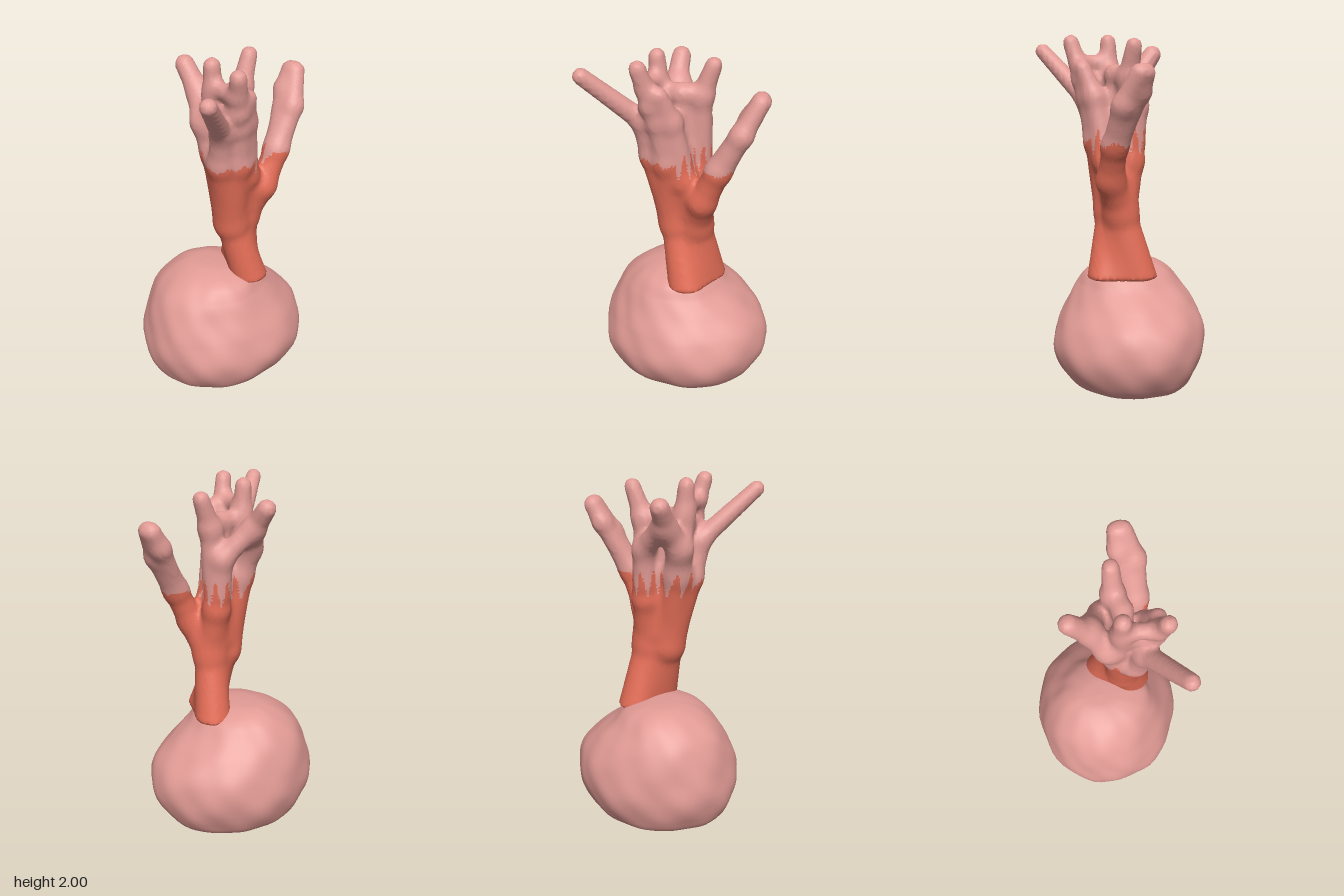
import * as THREE from 'three';
import { ParametricGeometry } from 'three/addons/geometries/ParametricGeometry.js';

const rose = new THREE.MeshStandardMaterial({ color: 0xe29b95 });
rose.name = 'dusty rose';
const red = new THREE.MeshStandardMaterial({ color: 0xe36d57 });
red.name = 'coral red';

// A strand is a path whose radius tapers evenly from point to point
function strand(r0, r1, ...points) {
  const radius = (i) => r0 + ((r1 - r0) * i) / (points.length - 1);
  return points.slice(1).map((b, i) => ({ a: points[i], b, ra: radius(i), rb: radius(i + 1) }));
}

// All arms grow from two joints in the waist of the stem
const waistLeft = [-0.03, 1.0, 0.09], waistRight = [0.085, 1.0, 0.085];
const leftFoot = strand(0.105, 0.082, [0.05, 0.62, 0.17], waistLeft);
const rightFoot = strand(0.105, 0.084, [0.14, 0.62, 0], waistRight);
const middleFoot = strand(0.1, 0.085, [0.095, 0.62, 0.085], [0.04, 1.0, 0.085]);
const outerLeftArm = strand(0.085, 0.044, waistLeft, [-0.15, 1.42, 0.12], [-0.195, 1.63, 0.16], [-0.47, 1.905, 0.31]);
const outerRightArm = strand(0.085, 0.048, waistRight, [0.14, 1.2, 0.18], [0.23, 1.4, 0.205], [0.35, 1.62, 0.215], [0.435, 1.79, 0.17]);
const outerRightRidge = strand(0.055, 0.046, [0.23, 1.4, 0.195], [0.38, 1.69, 0.13], [0.435, 1.79, 0.125]);
const frontFinger = strand(0.08, 0.045, waistLeft, [-0.06, 1.4, 0.165], [-0.1, 1.65, 0.2], [-0.185, 1.95, 0.26]);
const frontStub = strand(0.078, 0.045, waistRight, [0.03, 1.3, 0.15], [-0.03, 1.65, 0.19], [-0.08, 1.81, 0.24]);
const innerRightFinger = strand(0.085, 0.045, waistRight, [0.085, 1.3, 0.025], [0.1, 1.75, 0.05], [0.165, 1.93, 0.05]);
const backFinger = strand(0.085, 0.052, waistLeft, [-0.1, 1.45, 0.035], [-0.125, 1.62, -0.02], [-0.075, 1.75, -0.1], [-0.07, 1.885, -0.2]);
const backLeg = strand(0.06, 0.055, [0.08, 1.4, 0], [0.08, 1.6, -0.02], [-0.05, 1.76, -0.11]);
const innerLeftFinger = strand(0.06, 0.045, [-0.12, 1.6, 0.03], [-0.13, 1.8, 0.05], [-0.14, 1.953, 0.05]);
// webs closing the gaps between the fingers
const core = strand(0.085, 0.05, [0.03, 1.1, 0.08], [0, 1.45, 0.08], [0, 1.74, 0.075]);
const rightWeb = strand(0.043, 0.043, [-0.13, 1.77, 0.06], [0, 1.78, 0.08], [0.12, 1.77, 0.05]);
const leftWeb = strand(0.05, 0.05, [-0.12, 1.72, 0.06], [-0.14, 1.74, 0.22]);
const leftRidge = strand(0.042, 0.042, [-0.14, 1.84, 0.07], [-0.165, 1.84, 0.22]);
const segments = [leftFoot, rightFoot, middleFoot, outerLeftArm, outerRightArm, outerRightRidge, frontFinger,
  frontStub, innerRightFinger, backFinger, backLeg, innerLeftFinger, core, rightWeb, leftWeb, leftRidge].flat();

// Distance to the smoothly blended strands, cut flat at the foot
function coralDistance(x, y, z) {
  const k = 0.04;
  let d = 1;
  for (const { a, b, ra, rb } of segments) {
    const dx = b[0] - a[0], dy = b[1] - a[1], dz = b[2] - a[2];
    const px = x - a[0], py = y - a[1], pz = z - a[2];
    const t = Math.min(1, Math.max(0, (px * dx + py * dy + pz * dz) / (dx * dx + dy * dy + dz * dz)));
    const e = Math.hypot(px - t * dx, py - t * dy, pz - t * dz) - ra - t * (rb - ra);
    const h = Math.max(k - Math.abs(d - e), 0) / k;
    d = Math.min(d, e) - h * h * k * 0.25;
  }
  return Math.max(d, 0.63 - y);
}

// Skin a distance function with one vertex per surface cell
function skin(distance, min, size, step) {
  const [nx, ny, nz] = size.map((s) => Math.ceil(s / step) + 1);
  const stride = [1, nx, nx * ny];
  const at = (i, j, k) => i + j * nx + k * nx * ny;
  const field = new Float32Array(nx * ny * nz);
  for (let k = 0; k < nz; k++) for (let j = 0; j < ny; j++) for (let i = 0; i < nx; i++)
    field[at(i, j, k)] = distance(min[0] + i * step, min[1] + j * step, min[2] + k * step);

  // vertices: mean of the edge crossings in each cell
  const positions = [], vertexOf = new Map(), faces = [];
  for (let k = 0; k < nz - 1; k++) for (let j = 0; j < ny - 1; j++) for (let i = 0; i < nx - 1; i++) {
    const sum = [0, 0, 0];
    let count = 0;
    for (let c = 0; c < 8; c++) for (let a = 0; a < 3; a++) {
      if (c & (1 << a)) continue;
      const o = [c & 1, (c >> 1) & 1, (c >> 2) & 1];
      const p = at(i + o[0], j + o[1], k + o[2]);
      const f = field[p], g = field[p + stride[a]];
      if ((f < 0) === (g < 0)) continue;
      o[a] += f / (f - g);
      o.forEach((v, n) => { sum[n] += v; });
      count++;
    }
    if (!count) continue;
    vertexOf.set(at(i, j, k), positions.length / 3);
    [i, j, k].forEach((c, n) => positions.push(min[n] + (c + sum[n] / count) * step));
  }
  // faces: a quad around every crossed edge
  for (let k = 1; k < nz - 1; k++) for (let j = 1; j < ny - 1; j++) for (let i = 1; i < nx - 1; i++) {
    const p = at(i, j, k);
    for (let a = 0; a < 3; a++) {
      const inside = field[p] < 0;
      if (inside === (field[p + stride[a]] < 0)) continue;
      const u = stride[(a + 1) % 3], v = stride[(a + 2) % 3];
      const q = [p - u - v, p - v, p, p - u].map((c) => vertexOf.get(c));
      if (!inside) q.reverse();
      faces.push([q[0], q[1], q[2]], [q[0], q[2], q[3]]);
    }
  }
  const geometry = new THREE.BufferGeometry();
  geometry.setAttribute('position', new THREE.Float32BufferAttribute(positions, 3));
  geometry.setIndex(faces.flat());
  geometry.computeVertexNormals();
  return { geometry, faces };
}

// Coral split into a red stem and rose tips along a ragged line
function makeCoral() {
  const { geometry, faces } = skin(coralDistance, [-0.56, 0.59, -0.3], [1.08, 1.45, 0.7], 0.018);
  const { position, normal } = geometry.attributes;
  const mean = (f, axis) => f.reduce((s, v) => s + position.getComponent(v, axis), 0) / 3;
  const isTip = (f) => {
    const x = mean(f, 0), y = mean(f, 1), z = mean(f, 2);
    const ragged = (x > 0 && x < 0.17) || z < 0.05 ? 0.07 : 0.012;
    return y > 1.41 + ragged * Math.sin(15 * Math.atan2(z - 0.08, x - 0.02));
  };
  const part = (name, list, material) => {
    const g = new THREE.BufferGeometry();
    g.setAttribute('position', position);
    g.setAttribute('normal', normal);
    g.setIndex(list.flat());
    const mesh = new THREE.Mesh(g, material);
    mesh.name = name;
    return mesh;
  };
  const coral = new THREE.Group();
  coral.name = 'coral';
  coral.add(
    part('coralStem', faces.filter((f) => !isTip(f)), red),
    part('coralTips', faces.filter(isTip), rose),
  );
  return coral;
}

// Rock: rings spanned between a low and a high corner profile
function makeRock() {
  const rings = [
    // y, xMin, xMax, zMin, zMax
    [0, -0.02, -0.02, -0.02, -0.02],
    [0, -0.24, 0.24, -0.22, 0.19],
    [0, -0.39, 0.38, -0.345, 0.315],
    [0.09, -0.46, 0.46, -0.41, 0.405],
    [0.22, -0.49, 0.5, -0.445, 0.445],
    [0.36, -0.465, 0.475, -0.43, 0.405],
    [0.48, -0.42, 0.37, -0.395, 0.33],
    [0.57, -0.365, 0.26, -0.345, 0.275],
    [0.65, -0.27, 0.18, -0.27, 0.22],
    [0.695, -0.16, 0.06, -0.18, 0.1],
    [0.705, -0.06, -0.06, -0.06, -0.06],
  ];
  const profile = (xi, zi) => new THREE.CatmullRomCurve3(
    rings.map((r) => new THREE.Vector3(r[xi], r[0], r[zi])), false, 'catmullrom', 0.5);
  const high = profile(2, 4), low = profile(1, 3);
  const geometry = new ParametricGeometry((u, v, target) => {
    const a = u * Math.PI * 2;
    const p = high.getPoint(v), n = low.getPoint(v);
    const cx = (p.x + n.x) / 2, cz = (p.z + n.z) / 2;
    const y = Math.max(0, p.y);
    // skewed plan and gentle lumps
    const lump = 1 - 0.03 * Math.sin(2 * a) + 0.01 * Math.sin(5 * a + 9 * y)
      + 0.008 * Math.sin(8 * a - 16 * y) + 0.005 * Math.sin(13 * a + 25 * y);
    target.set(cx + Math.cos(a) * (p.x - cx) * lump, y, cz - Math.sin(a) * (p.z - cz) * lump);
  }, 64, 50);
  const rock = new THREE.Mesh(geometry, rose);
  rock.name = 'rock';
  return rock;
}

export function createModel() {
  const model = new THREE.Group();
  model.name = 'coralOnRock';
  model.add(makeRock(), makeCoral());
  return model;
}
